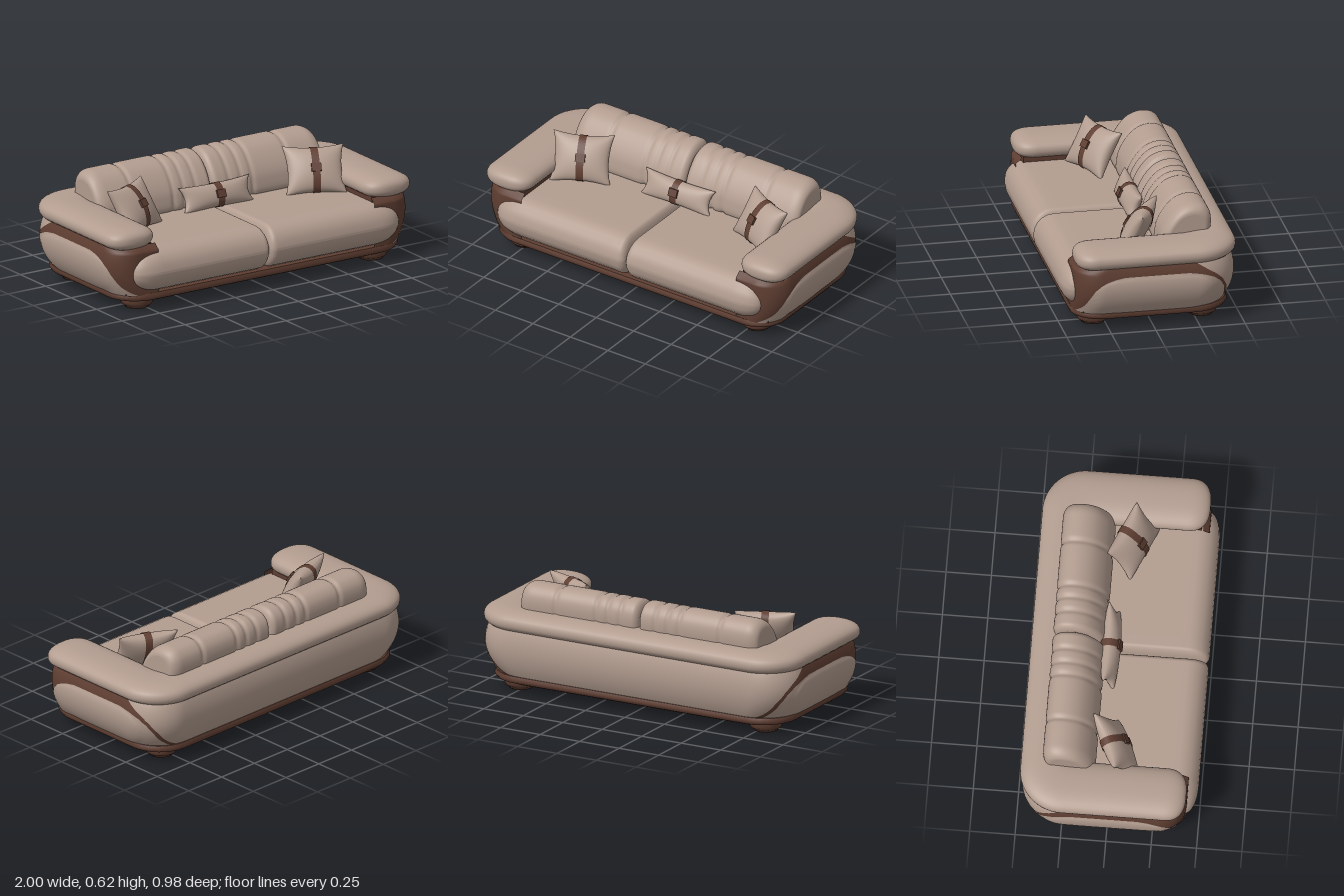
import * as THREE from 'three';

const taupe = new THREE.MeshStandardMaterial({ color: 0xb39d90, side: THREE.DoubleSide });
taupe.name = 'taupe fabric';
const brown = new THREE.MeshStandardMaterial({ color: 0x5f3e32, side: THREE.DoubleSide });
brown.name = 'brown leather';

const { sin, cos, abs, sign, sqrt, min, max, exp, PI } = Math;
const spow = (v, p) => sign(v) * abs(v) ** p;
const steps = (n, f) => Array.from({ length: n + 1 }, (_, i) => f(i / n));

// Skin over rows of points; closed wraps each row, caps fills the first and last row
function skin(rows, closed = false, caps = false) {
  const n = rows[0].length, pos = rows.flat(), idx = [];
  for (let i = 0; i < rows.length - 1; i++)
    for (let j = 0; j < (closed ? n : n - 1); j++) {
      const a = i * n + j, b = i * n + (j + 1) % n;
      idx.push(a, b, a + n, b, b + n, a + n);
    }
  if (caps) [rows[0], rows.at(-1)].forEach((row, end) => {
    const start = pos.length;
    const mid = [0, 1, 2].map(k => row.reduce((s, p) => s + p[k], 0) / n);
    pos.push(...row, mid);
    for (let j = 0; j < n; j++) {
      const a = start + j, b = start + (j + 1) % n;
      idx.push(...(end ? [a, b, start + n] : [b, a, start + n]));
    }
  });
  // Turn the faces outward
  const v = pos.map(p => new THREE.Vector3(...p));
  let vol = 0;
  for (let i = 0; i < idx.length; i += 3)
    vol += v[idx[i]].dot(v[idx[i + 1]].clone().cross(v[idx[i + 2]]));
  if (vol < 0) idx.reverse();
  const g = new THREE.BufferGeometry();
  g.setAttribute('position', new THREE.Float32BufferAttribute(pos.flat(), 3));
  g.setIndex(idx);
  g.computeVertexNormals();
  return g;
}

// Point on a rounded rectangle; t runs 0..12 round it from the left side, 3 = front centre
function plan(t, A, Bf, rf, Bb, rb) {
  t = ((t + 6) % 12 + 12) % 12 - 6;
  const back = t < 0, B = back ? Bb : Bf, r = back ? rb : rf;
  let q = abs(t), sx = 1;
  if (q > 3) { q = 6 - q; sx = -1; }
  let x = A, z = q * (B - r);
  if (q > 2) { x = (3 - q) * (A - r); z = B; }
  else if (q > 1) {
    const a = (q - 1) * PI / 2;
    x = A - r + r * cos(a); z = B - r + r * sin(a);
  }
  return [sx * x, back ? -z : z];
}

// Bulging outline of the body at height y
const R_FRONT = 0.15, R_BACK = 0.22;
function body(y) {
  const k = ((y - 0.27) / 0.17) ** 2;
  return {
    A: 0.99 - 0.055 * k, Bb: 0.478 - 0.045 * k,
    Bf: 0.435 - 0.035 * THREE.MathUtils.smoothstep(y, 0.345, 0.375),
  };
}
const bodyPoint = (t, y) => {
  const { A, Bf, Bb } = body(y), [x, z] = plan(t, A, Bf, R_FRONT, Bb, R_BACK);
  return [x, y, z];
};
const tAtBack = (z, y) => {
  const s = body(y).Bb - R_BACK;
  return z < s ? z / s : 1 + Math.asin(min(1, (z - s) / R_BACK)) / (PI / 2);
};
function bodyX(y, z) {
  const { A, Bf, Bb } = body(y), r = z < 0 ? R_BACK : R_FRONT;
  const d = max(0, abs(z) - (z < 0 ? Bb : Bf) + r);
  return A - r + sqrt(max(0, r * r - d * d));
}

function lookup(table, y) {
  let i = 0;
  while (i < table.length - 2 && y > table[i + 1][0]) i++;
  const [y0, v0] = table[i], [y1, v1] = table[i + 1];
  return v0 + (v1 - v0) * (y - y0) / (y1 - y0);
}

// Stations along x with rounded ends: [x, k], where k falls to 0 at each end
const stations = (x0, x1, e0, e1, n, p) => [
  ...steps(10, i => cos(i * PI / 2)).map(u => [x0 + e0 * (1 - u), (1 - u ** p) ** (1 / p)]),
  ...steps(n, i => [x0 + e0 + (x1 - x0 - e0 - e1) * i, 1]).slice(1),
  ...steps(10, i => sin(i * PI / 2)).slice(1).map(u => [x1 - e1 * (1 - u), (1 - u ** p) ** (1 / p)]),
];

function pillow(name, w, h, t) {
  const g = new THREE.Group();
  g.name = name;
  const rows = steps(24, i => {
    const b = (i - 0.5) * PI, v = sin(b);
    return steps(47, j => {
      const a = j * 47 / 48 * 2 * PI, u = cos(a);
      return [u * w * (1 - 0.13 * (1 - v * v)), v * h * (1 - 0.13 * (1 - u * u)),
        t * spow(sin(a), 0.85) * abs(cos(b)) ** 0.85];
    });
  });
  const strap = [-0.021, 0.021].map(x => steps(48, i => {
    const b = i * 2 * PI;
    return [x, sin(b) * (h * 0.87 + 0.004), (t + 0.005) * spow(cos(b), 0.85)];
  }));
  const knot = new THREE.Mesh(new THREE.BoxGeometry(0.055, 0.045, 0.014), brown);
  knot.name = 'strapKnot';
  knot.position.z = t + 0.004;
  const cushion = new THREE.Mesh(skin(rows, true), taupe), band = new THREE.Mesh(skin(strap), brown);
  cushion.name = 'pillowCushion';
  band.name = 'pillowStrap';
  g.add(cushion, band, knot);
  return g;
}

export function createModel() {
  const model = new THREE.Group();
  const add = (name, geo, mat) => {
    const m = new THREE.Mesh(geo, mat);
    m.name = name;
    model.add(m);
    return m;
  };
  // rows builder is called with the side sign so both halves are mirrored
  const pair = (name, rows, mat, closed, caps) => [['left', 1], ['right', -1]].forEach(([side, s]) =>
    add(side + name, skin(rows.map(r => r.map(([x, y, z]) => [s * x, y, z])), closed, caps), mat));

  // Plinth and feet
  const plinth = [[0.05, 0.9, 0.41], [0.062, 0.93, 0.437], [0.08, 0.942, 0.445], [0.1, 0.935, 0.437]];
  add('plinth', skin(plinth.map(([y, A, B]) => steps(95, i => {
    const [x, z] = plan(i * 95 / 8, A, B, 0.17, B, 0.2);
    return [x, y, z];
  })), true, true), brown);
  const foot = new THREE.LatheGeometry([[0, 0], [0.067, 0], [0.07, 0.01], [0.084, 0.018], [0.093, 0.036], [0.093, 0.056]]
    .map(p => new THREE.Vector2(...p)), 32);
  for (const x of [-0.775, 0.775]) for (const z of [0.31, -0.295])
    add('foot', foot, brown).position.set(x, 0, z);

  // Lower body: brown arm wraps at the sides, fabric round the back
  const seam = [[0.09, 0.425], [0.2, 0.415], [0.26, 0.385], [0.3, 0.345], [0.38, 0.22]];
  const levels = steps(20, i => 0.092 + 0.283 * i);
  pair('ArmWrap', levels.map(y => {
    const t0 = -tAtBack(lookup(seam, y), y), t1 = 3 - 0.715 / (body(y).A - R_FRONT);
    return steps(50, i => bodyPoint(t0 + (t1 - t0) * i, y));
  }), brown);
  add('backShell', skin(levels.map(y => {
    const t0 = tAtBack(lookup(seam, y), y);
    return steps(60, i => bodyPoint(-t0 - (6 - 2 * t0) * i, y));
  })), taupe);
  for (const s of [1, -1])
    add('armCore', new THREE.BoxGeometry(0.17, 0.28, 0.66), brown).position.set(s * 0.815, 0.235, 0.06);

  // Padded side panels
  const front = [[0.095, 0.425], [0.15, 0.385], [0.2, 0.362], [0.25, 0.335], [0.285, 0.295], [0.308, 0.24], [0.32, 0.17]];
  const rear = [[0.095, -0.412], [0.2, -0.398], [0.25, -0.373], [0.285, -0.33], [0.308, -0.27], [0.32, -0.19]];
  pair('SidePanel', steps(24, i => {
    const y = 0.095 + 0.225 * i, z0 = lookup(rear, y), z1 = lookup(front, y);
    return steps(48, j => {
      const z = z0 + (z1 - z0) * j;
      const d = abs(z / 0.335) ** 4 + abs((y - 0.2) / 0.112) ** 2.6;
      return [bodyX(y, z) + 0.004 + 0.008 * sqrt(max(0, 1 - d)), y, z];
    });
  }), taupe);

  // Continuous padded roll forming the arm tops and back rail
  const end = steps(12, i => cos(i * PI / 2)).map(u => [(0.31 + 0.122 * u) / 0.43, (1 - u ** 2.6) ** (1 / 2.6)]);
  const half = [...end, ...steps(50, i => [0.72 - 3.72 * i, 1]).slice(1)];
  const whole = [...half, ...half.slice(0, -1).reverse().map(([t, k]) => [-6 - t, k])];
  add('armAndBackRoll', skin(whole.map(([t, k]) => {
    const o = plan(t, 1, 0.67, 0.24, 0.49, 0.24), n = plan(t, 0.7, 0.47, 0.04, 0.22, 0.04);
    return steps(31, j => {
      const a = j * 31 / 32 * 2 * PI, c = k * spow(cos(a), 0.85) / 2;
      return [(o[0] + n[0]) / 2 + c * (o[0] - n[0]), 0.412 + 0.063 * k * spow(sin(a), 0.85),
        (o[1] + n[1]) / 2 + c * (o[1] - n[1])];
    });
  }), true), taupe);

  // Seat cushions
  pair('SeatCushion', stations(0.003, 0.88, 0.04, 0.17, 12, 2.3).map(([x, k]) => {
    const h = 0.123 * max(k, 0.02), zf = 0.49 - (x > 0.4 ? 0.08 : 0.04) * (1 - k);
    const c = (zf - 0.3) / 2, B = (zf + 0.3) / 2, r = h * 0.94;
    return steps(59, j => {
      const [y, z] = plan(j * 59 / 60 * 12, h, B, r, B, r);
      return [x, 0.222 + y, c + z];
    });
  }), taupe, true, true);

  // Back cushions with stitched channels
  const profile = new THREE.CatmullRomCurve3([[-0.09, 0.34], [-0.085, 0.42], [-0.1, 0.475], [-0.135, 0.535],
    [-0.18, 0.583], [-0.225, 0.607], [-0.275, 0.615], [-0.325, 0.604], [-0.358, 0.57], [-0.37, 0.52],
    [-0.365, 0.45], [-0.35, 0.34]].map(([z, y]) => new THREE.Vector3(0, y, z)), true).getPoints(48).slice(0, -1);
  const channels = [0.11, 0.19, 0.262, 0.52];
  pair('BackCushion', stations(0.003, 0.75, 0.035, 0.07, 70, 2).map(([x, k]) => {
    const groove = channels.reduce((s, c) => s + exp(-(((x - c) / 0.013) ** 2)), 0);
    const s = 1 - 0.3 * (1 - k) - 0.06 * groove;
    return profile.map(p => [x, 0.44 + (p.y - 0.44) * s, -0.225 + (p.z + 0.225) * s]);
  }), taupe, true, true);

  // Scatter pillows with straps
  for (const s of [1, -1]) {
    const p = pillow(s > 0 ? 'leftPillow' : 'rightPillow', 0.172, 0.142, 0.062);
    p.rotation.set(-0.53, -s * 0.42, 0, 'YXZ');
    p.position.set(s * 0.595, 0.458, 0.025);
    model.add(p);
  }
  const lumbar = pillow('lumbarPillow', 0.235, 0.075, 0.05);
  lumbar.rotation.x = -0.4;
  lumbar.position.set(-0.005, 0.403, -0.05);
  model.add(lumbar);
  return model;
}
